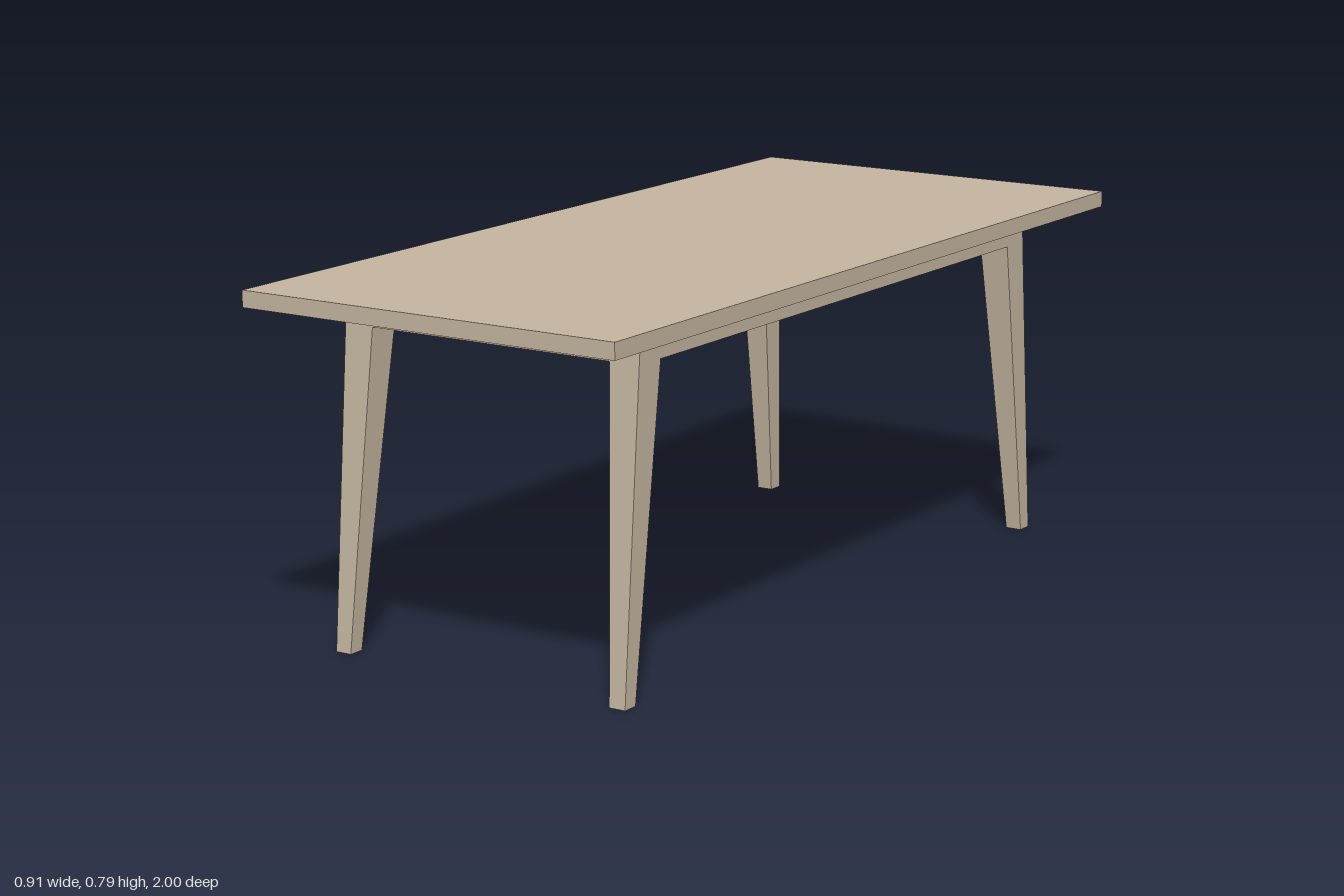
import * as THREE from 'three';

const TOP = 0.75, RAIL = 0.69, LEG_X = 0.365;
// outward lean of the table ends: z of the outer face at height y
const outerZ = (y) => 0.84 - 0.06 * (y / TOP);

// Box whose cross-section [x0, x1, z0, z1] differs at bottom and top
function taperedBox(y0, low, y1, high) {
  const g = new THREE.BoxGeometry(1, 1, 1).toNonIndexed();
  const p = g.attributes.position;
  for (let i = 0; i < p.count; i++) {
    const up = p.getY(i) > 0;
    const s = up ? high : low;
    p.setXYZ(i, p.getX(i) > 0 ? s[1] : s[0], up ? y1 : y0, p.getZ(i) > 0 ? s[3] : s[2]);
  }
  g.computeVertexNormals();
  return g;
}

export function createModel() {
  const table = new THREE.Group();
  table.name = 'table';
  const wood = new THREE.MeshStandardMaterial({ color: 0xc4b5a0 });
  wood.name = 'pale wood';

  const add = (name, geometry) => {
    const mesh = new THREE.Mesh(geometry, wood);
    mesh.name = name;
    table.add(mesh);
    return mesh;
  };

  // Flat rectangular top
  add('tableTop', new THREE.BoxGeometry(0.912, 0.036, 2)).position.y = 0.768;

  // Mirrors a [x0, x1, z0, z1] section into the chosen quadrant
  const flip = ([x0, x1, z0, z1], sx, sz) => [
    sx > 0 ? x0 : -x1, sx > 0 ? x1 : -x0,
    sz > 0 ? z0 : -z1, sz > 0 ? z1 : -z0,
  ];

  const foot = [0.327, LEG_X, 0.803, outerZ(0)];
  const knee = [0.295, LEG_X, 0.71, outerZ(RAIL)];
  const head = [0.295, LEG_X, 0.71, outerZ(TOP)];

  for (const sz of [1, -1]) {
    for (const sx of [1, -1]) {
      const side = (sz > 0 ? 'front' : 'back') + (sx > 0 ? 'Left' : 'Right');
      // Tapered leg with its corner block between the rails
      add(side + 'Leg', taperedBox(0, flip(foot, sx, sz), RAIL, flip(knee, sx, sz)));
      add(side + 'LegBlock', taperedBox(RAIL, flip(knee, sx, sz), TOP, flip(head, sx, sz)));
    }
    // End rail, leaning with the legs
    const low = [-0.295, 0.295, outerZ(RAIL) - 0.035, outerZ(RAIL)];
    const high = [-0.295, 0.295, outerZ(TOP) - 0.035, outerZ(TOP)];
    add(sz > 0 ? 'frontRail' : 'backRail',
      taperedBox(RAIL, flip(low, 1, sz), TOP, flip(high, 1, sz)));
  }

  // Long side rails
  for (const sx of [1, -1]) {
    const rail = flip([LEG_X - 0.035, LEG_X, -0.71, 0.71], sx, 1);
    add(sx > 0 ? 'leftRail' : 'rightRail', taperedBox(RAIL, rail, TOP, rail));
  }
  return table;
}
